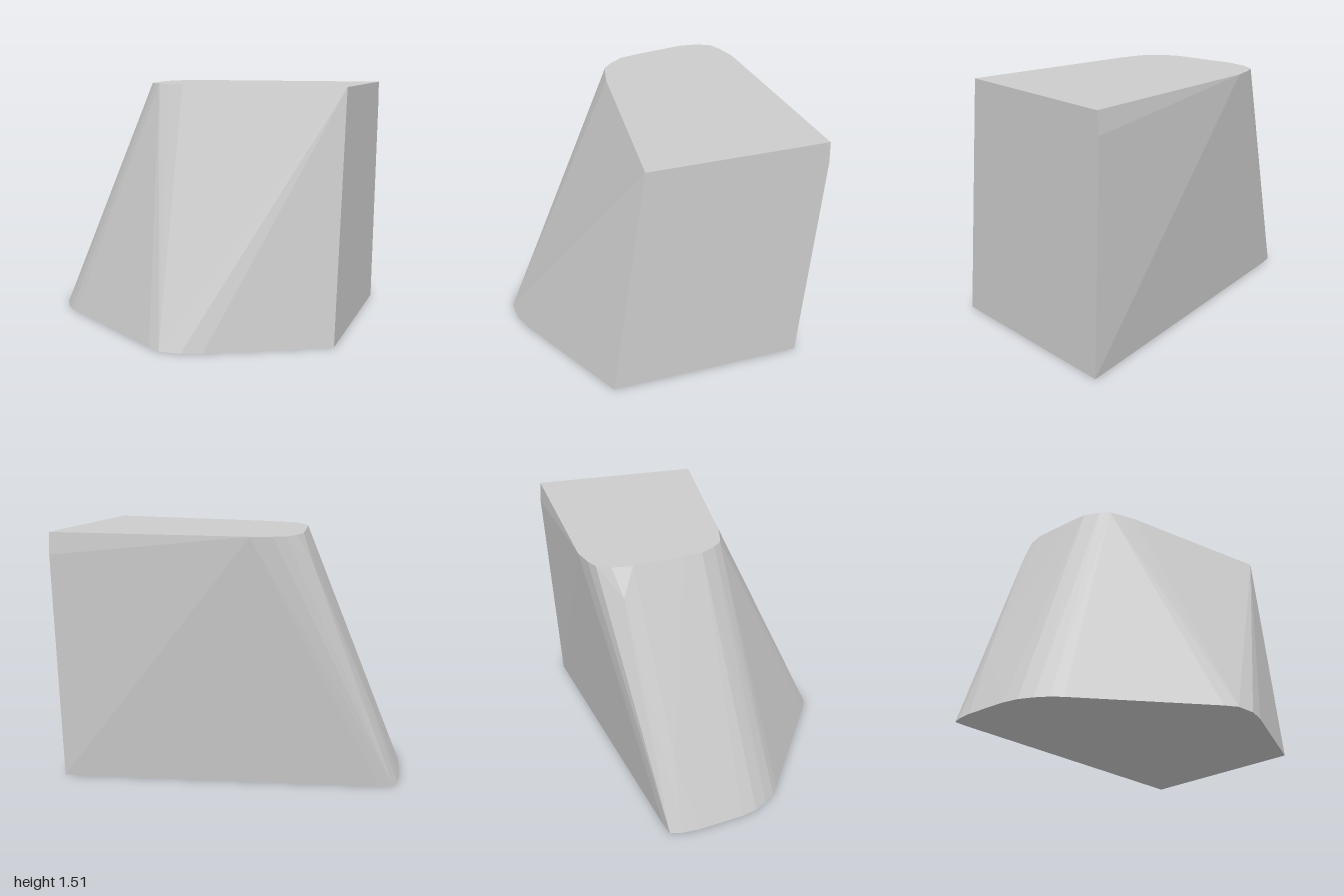
import * as THREE from 'three';
import { ConvexGeometry } from 'three/addons/geometries/ConvexGeometry.js';

const HEIGHT = 1.51;

// Outlines as [x, z], running from the flat left side around the front to the back
const topOutline = [
  [1, 0.22], [-0.07, 0.125], [-0.18, 0.10], [-0.25, 0.08], [-0.30, 0.03],
  [-0.36, -0.06], [-0.38, -0.17], [-0.425, -0.48], [-0.41, -0.60],
  [-0.37, -0.68], [-0.30, -0.715], [-0.18, -0.75], [1, -0.83],
];
const baseOutline = [
  [1, 0.40], [0.32, 0.78], [0.20, 0.83], [0.07, 0.84], [-0.01, 0.80],
  [-0.76, 0.325], [-0.82, 0.28], [-0.88, 0.21], [-0.93, 0.13], [-0.96, 0.03],
  [-1, -0.25], [-1, -0.36], [-0.985, -0.43], [-0.90, -0.452], [1, -0.79],
];
// Slight bulges between the two outlines, as [x, y, z]
const bulges = [[1, 1.38, -0.84], [-0.84, 0.45, -0.36], [-0.495, 1.35, -0.55]];

const atHeight = (outline, y) => outline.map(([x, z]) => new THREE.Vector3(x, y, z));

export function createModel() {
  const group = new THREE.Group();
  group.name = 'taperedBlock';

  // Faceted convex body spanning the base and top outlines
  const body = new THREE.Mesh(
    new ConvexGeometry([
      ...atHeight(baseOutline, 0),
      ...atHeight(topOutline, HEIGHT),
      ...bulges.map((p) => new THREE.Vector3(...p)),
    ]),
    new THREE.MeshStandardMaterial({ color: 0xcccccc, flatShading: true }),
  );
  body.name = 'body';
  group.add(body);
  return group;
}
